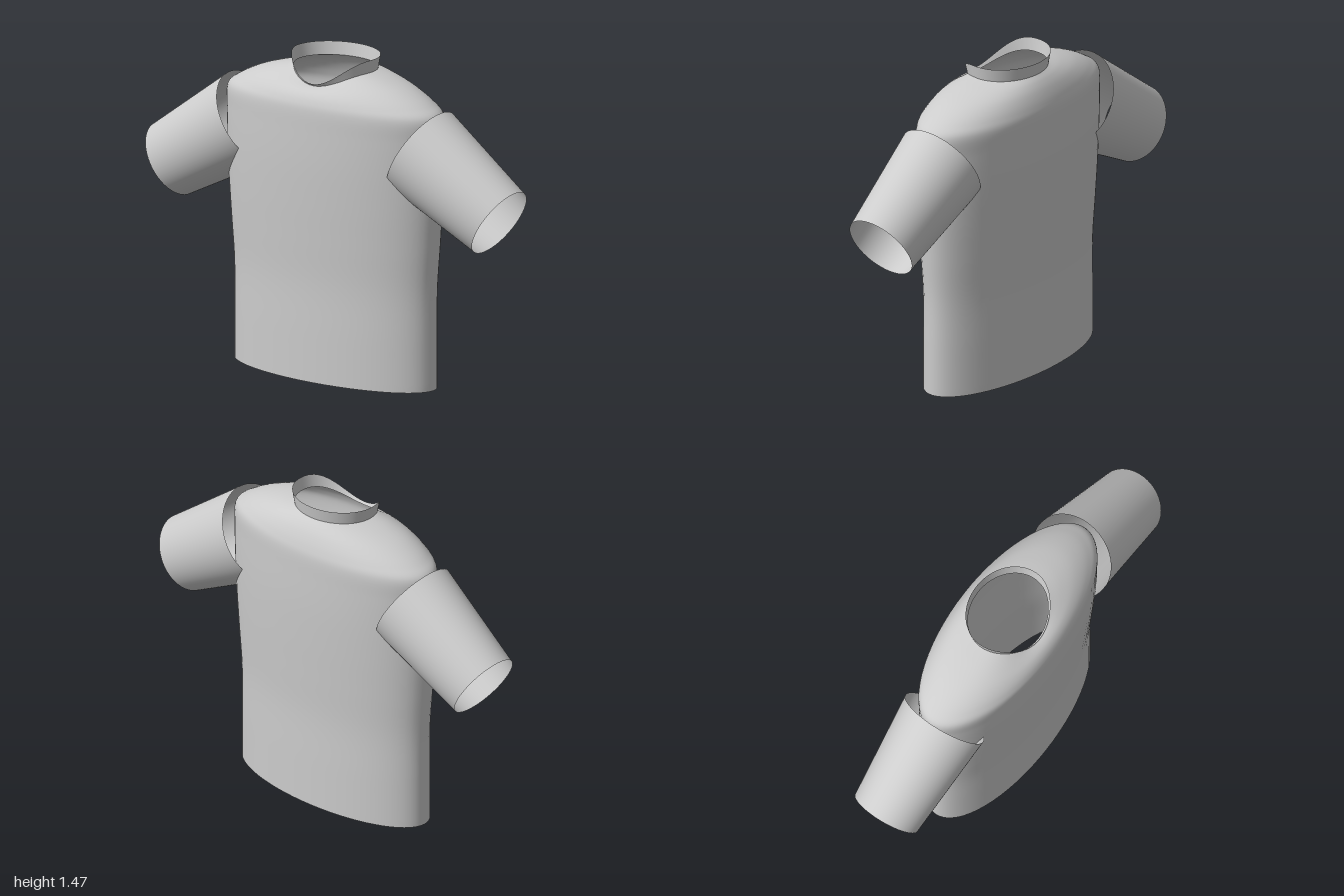
import * as THREE from 'three';

const SEGMENTS = 64;

// Closed loft: pointAt(row, angle) gives a point; angle 0 faces the front
function loft(rows, pointAt) {
  const positions = [], index = [];
  for (let i = 0; i <= rows; i++) {
    for (let j = 0; j < SEGMENTS; j++) {
      positions.push(...pointAt(i / rows, (j / SEGMENTS) * Math.PI * 2));
    }
  }
  for (let i = 0; i < rows; i++) {
    for (let j = 0; j < SEGMENTS; j++) {
      const a = i * SEGMENTS + j, b = i * SEGMENTS + ((j + 1) % SEGMENTS);
      index.push(a, b, b + SEGMENTS, a, b + SEGMENTS, a + SEGMENTS);
    }
  }
  const geometry = new THREE.BufferGeometry();
  geometry.setAttribute('position', new THREE.Float32BufferAttribute(positions, 3));
  geometry.setIndex(index);
  geometry.computeVertexNormals();
  return geometry;
}

// How strongly the neckline drops at an angle: 1 at the front, 0 at sides and back
const frontDip = (angle) => Math.max(0, Math.cos(angle)) ** 3;

export function createModel() {
  const fabric = new THREE.MeshStandardMaterial({ color: 0xcccccc, side: THREE.DoubleSide });
  fabric.name = 'grey fabric';
  const shirt = new THREE.Group();
  shirt.name = 'shirt';

  function add(name, geometry) {
    const mesh = new THREE.Mesh(geometry, fabric);
    mesh.name = name;
    shirt.add(mesh);
    return mesh;
  }

  // Torso: elliptical sections given as half width, height, half depth
  const profile = new THREE.CatmullRomCurve3([
    [0.54, 0, 0.215], [0.54, 0.22, 0.215], [0.541, 0.45, 0.215],
    [0.555, 0.65, 0.226], [0.566, 0.82, 0.236], [0.573, 1.0, 0.244],
    [0.576, 1.15, 0.246], [0.571, 1.25, 0.245], [0.515, 1.295, 0.235],
    [0.41, 1.347, 0.213], [0.3, 1.382, 0.189], [0.2, 1.405, 0.165],
  ].map((p) => new THREE.Vector3(...p)));
  add('torso', loft(66, (t, angle) => {
    const p = profile.getPoint(t);
    const shoulder = THREE.MathUtils.clamp((p.y - 1.25) / 0.155, 0, 1);
    return [
      p.x * Math.sin(angle),
      p.y - 0.06 * shoulder ** 2 * frontDip(angle),
      p.z * Math.cos(angle),
    ];
  }));

  // Collar: flared band, tall at the back and narrow at the front
  add('collar', loft(4, (t, angle) => [
    (0.2 + 0.01 * t) * Math.sin(angle),
    1.405 + 0.06 * t - (0.06 + 0.05 * t) * frontDip(angle),
    (0.165 + 0.01 * t) * Math.cos(angle),
  ]));

  // Sleeves: open tapered tubes angled down and out
  for (const side of [1, -1]) {
    const inner = new THREE.Vector3(side * 0.473, 1.093, 0);
    const cuff = new THREE.Vector3(side * 0.907, 0.83, 0);
    const axis = inner.clone().sub(cuff);
    const geometry = new THREE.CylinderGeometry(0.22, 0.176, axis.length(), SEGMENTS, 1, true);
    geometry.scale(1, 1, 0.91);
    const sleeve = add(side > 0 ? 'leftSleeve' : 'rightSleeve', geometry);
    sleeve.position.copy(inner).add(cuff).multiplyScalar(0.5);
    sleeve.quaternion.setFromUnitVectors(new THREE.Vector3(0, 1, 0), axis.normalize());
  }

  return shirt;
}
